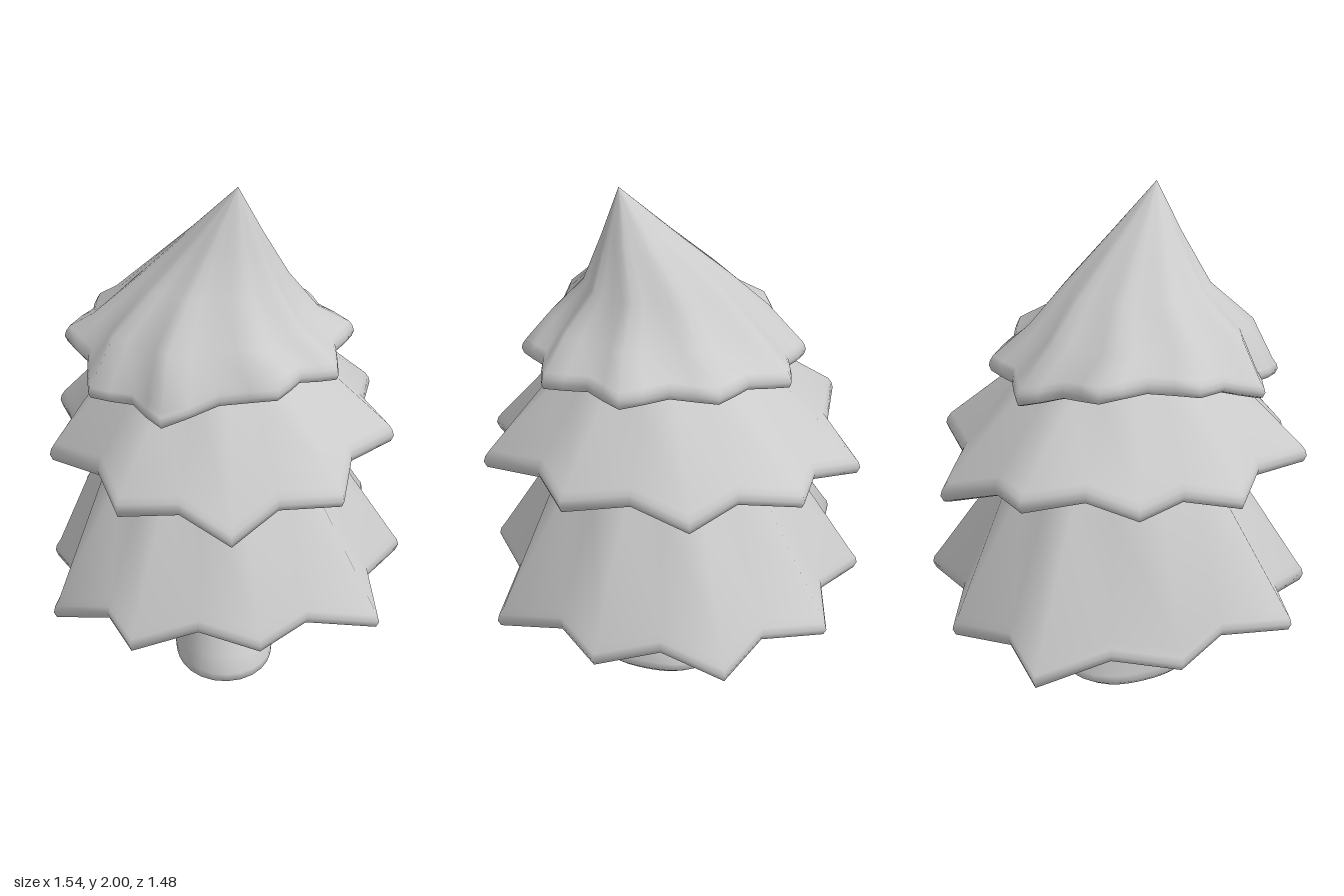
import * as THREE from 'three';

const material = new THREE.MeshStandardMaterial({ color: 0xcccccc, side: THREE.DoubleSide });

// Skin closed rows of points, listed from the top down and around from +x to +z
function loft(name, rows) {
  const n = rows[0].length, index = [];
  for (let i = 0; i < rows.length - 1; i++) {
    for (let j = 0; j < n; j++) {
      const a = i * n + j, b = i * n + (j + 1) % n;
      index.push(a, b, a + n, b, b + n, a + n);
    }
  }
  const geometry = new THREE.BufferGeometry().setFromPoints(rows.flat());
  geometry.setIndex(index);
  geometry.computeVertexNormals();
  const mesh = new THREE.Mesh(geometry, material);
  mesh.name = name;
  return mesh;
}

// One skirt of branches: circles [x, y, z, r, waviness] lead down to a star-shaped, thick rim
function tier(name, { tips, valley, lift, steps, lip, circles, inner }) {
  const points = [];
  tips.forEach((t, i) => {
    const p = new THREE.Vector3(...t);
    const q = new THREE.Vector3(...tips[(i + 1) % tips.length]);
    const m = p.clone().add(q).multiplyScalar(0.5);
    points.push(p, new THREE.Vector3(m.x * valley, m.y + lift, m.z * valley));
  });
  const curve = new THREE.CatmullRomCurve3(points, true, 'catmullrom', 0.35);
  const rim = curve.getPoints(points.length * steps).slice(0, -1);
  const mean = rim.reduce((s, p) => s + Math.hypot(p.x, p.z), 0) / rim.length;

  const circle = ([x, y, z, r, wave]) => rim.map((p) => {
    const d = Math.hypot(p.x, p.z);
    const k = r * (1 + wave * (d / mean - 1)) / d;
    return new THREE.Vector3(x + p.x * k, y, z + p.z * k);
  });
  const edge = ([scale, dy]) => rim.map((p) => new THREE.Vector3(p.x * scale, p.y + dy * lip, p.z * scale));

  // outer slope, rounded rim, hollow underside
  const edges = [[0.965, 0.085], [0.99, 0.06], [1, 0.035], [0.985, 0.008], [0.95, 0], [0.91, 0.03]];
  return loft(name, [...circles.map(circle), ...edges.map(edge), circle(inner)]);
}

// Trunk with a waist, and a foot that spreads along the diagonal
function trunk() {
  // centre x, y, centre z, radius, diagonal stretch
  const sections = [
    [0.03, 0.8, 0.05, 0.22, 0], [0.03, 0.62, 0.05, 0.175, 0], [0.03, 0.45, 0.05, 0.155, 0.03],
    [0.035, 0.34, 0.048, 0.162, 0.05], [0.05, 0.22, 0.04, 0.185, 0.09], [0.06, 0.13, 0.025, 0.215, 0.14],
    [0.06, 0.07, 0.015, 0.24, 0.17], [0.06, 0.035, 0.015, 0.238, 0.17], [0.06, 0.01, 0.015, 0.21, 0.16],
    [0.06, 0, 0.015, 0.16, 0.15], [0.06, 0.005, 0.015, 0, 0],
  ];
  const rows = sections.map(([x, y, z, r, stretch]) => Array.from({ length: 32 }, (_, j) => {
    const a = j / 32 * Math.PI * 2;
    const k = r * (1 + stretch * Math.cos(2 * a - Math.PI / 2));
    return new THREE.Vector3(x + k * Math.cos(a), y, z + k * Math.sin(a));
  }));
  return loft('trunk', rows);
}

export function createModel() {
  const group = new THREE.Group();
  group.name = 'tree';
  group.add(trunk());

  group.add(tier('lowerBranches', {
    tips: [
      [0.77, 0.42, -0.05], [0.58, 0.475, 0.40], [0.22, 0.455, 0.69], [-0.13, 0.45, 0.74], [-0.47, 0.41, 0.44],
      [-0.77, 0.41, 0], [-0.62, 0.43, -0.41], [-0.26, 0.45, -0.71], [0.19, 0.44, -0.74], [0.57, 0.46, -0.46],
    ],
    valley: 0.88, lift: 0.02, steps: 1, lip: 1,
    circles: [[0, 1.25, 0, 0, 0], [0, 1.24, 0, 0.25, 0], [0, 0.95, 0, 0.43, 0.1]],
    inner: [0.03, 0.8, 0.05, 0.18, 0],
  }));

  group.add(tier('middleBranches', {
    tips: [
      [0.705, 1.01, 0.13], [0.52, 0.94, 0.49], [0.17, 1.0, 0.68], [-0.28, 1.0, 0.58], [-0.54, 1.02, 0.30],
      [-0.69, 1.05, -0.07], [-0.54, 0.94, -0.47], [-0.15, 1.03, -0.67], [0.27, 1.03, -0.62], [0.60, 1.04, -0.31],
    ],
    valley: 0.89, lift: 0.02, steps: 1, lip: 0.9,
    circles: [[0.03, 1.56, 0.02, 0, 0], [0.03, 1.55, 0.02, 0.18, 0], [0.02, 1.35, 0.01, 0.37, 0.1]],
    inner: [0, 1.2, 0, 0.27, 0],
  }));

  group.add(tier('topBranches', {
    tips: [
      [0.53, 1.37, -0.04], [0.49, 1.38, 0.23], [0.24, 1.305, 0.53], [-0.06, 1.33, 0.57], [-0.33, 1.41, 0.43],
      [-0.49, 1.40, 0.13], [-0.46, 1.33, -0.19], [-0.25, 1.35, -0.41], [0.07, 1.39, -0.46], [0.38, 1.39, -0.33],
    ],
    valley: 0.92, lift: 0.01, steps: 2, lip: 0.75,
    circles: [[0.165, 2, 0.07, 0, 0], [0.1, 1.83, 0.055, 0.125, 0.2], [0.03, 1.66, 0.035, 0.255, 0.5],
      [0.01, 1.53, 0.04, 0.375, 0.9]],
    inner: [0.01, 1.48, 0.04, 0.2, 0],
  }));
  return group;
}
